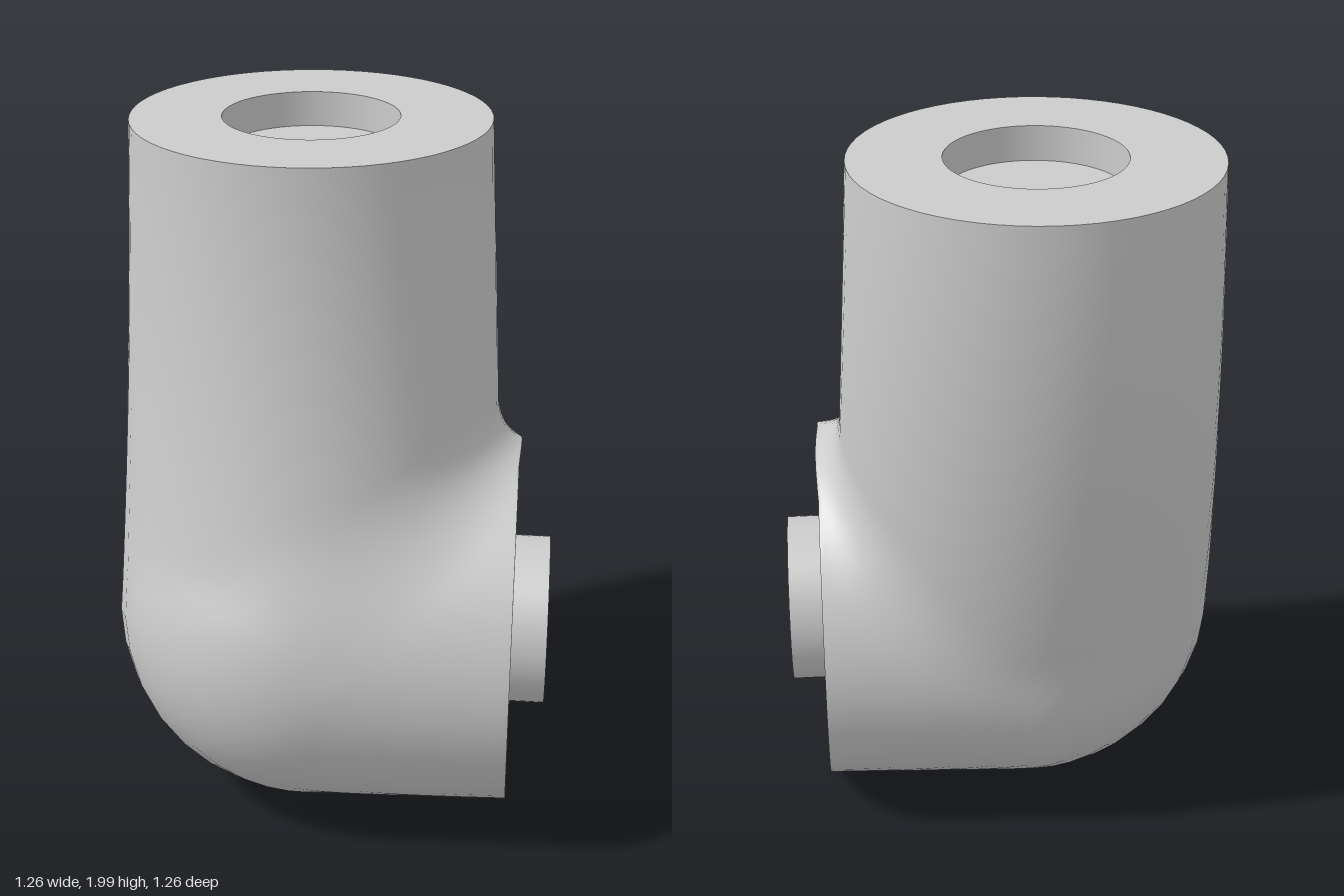
import * as THREE from 'three';

const ROWS = 48, COLS = 64;
const TOP = new THREE.Vector3(-0.085, 2, -0.12);   // centre of the upper end
const SIDE = new THREE.Vector3(0.53, 0.55, 0.075); // centre of the side flange
const ELBOW = new THREE.Vector3(-0.07, 0.57, 0.07); // centre of the rounded heel
const TOP_R = 0.505, SIDE_R = 0.53, ELBOW_R = 0.565;
const { lerp, clamp } = THREE.MathUtils;

// Signed distances: leaning upper tube, side tube, and their filleted union
function upperTube(p) {
  const t = (p.y - ELBOW.y) / (TOP.y - ELBOW.y);
  if (t < 0) return p.distanceTo(ELBOW) - ELBOW_R;
  const bend = 1 - (1 - Math.min(t, 1)) ** 2;
  return Math.hypot(p.x - lerp(ELBOW.x, TOP.x, t), p.z - lerp(ELBOW.z, TOP.z, bend)) - lerp(ELBOW_R, TOP_R, t);
}

function sideTube(p) {
  const t = (p.x - ELBOW.x) / (SIDE.x - ELBOW.x);
  if (t < 0) return p.distanceTo(ELBOW) - ELBOW_R;
  return Math.hypot(p.y - lerp(ELBOW.y, SIDE.y, t), p.z - lerp(ELBOW.z, SIDE.z, t)) - lerp(ELBOW_R, SIDE_R, t);
}

function bodyDistance(p) {
  const a = upperTube(p), b = sideTube(p);
  // the fillet only acts on the inside of the elbow
  const k = 0.13 * clamp((p.x - ELBOW.x + p.y - ELBOW.y) / 0.8, 0, 1) + 1e-4;
  const h = Math.max(k - Math.abs(a - b), 0);
  return Math.min(a, b) - h * h / (4 * k);
}

// Push a guide point along its ray from the elbow centre onto the surface
function project(guide) {
  const dir = guide.clone().sub(ELBOW).normalize();
  const p = new THREE.Vector3();
  let near = 0, far = 2.5;
  for (let i = 0; i < 32; i++) {
    const mid = (near + far) / 2;
    p.copy(ELBOW).addScaledVector(dir, mid);
    if (bodyDistance(p) < 0) near = mid; else far = mid;
  }
  return p;
}

// Rings that fan from the upper rim round the elbow to the flange rim
function elbowGeometry() {
  const grid = [], index = [];
  for (let j = 0; j < COLS; j++) {
    const a = j / COLS * Math.PI * 2, c = Math.cos(a), s = Math.sin(a);
    const start = new THREE.Vector3(TOP.x + TOP_R * c, TOP.y, TOP.z + TOP_R * s);
    const end = new THREE.Vector3(SIDE.x, SIDE.y + SIDE_R * c, SIDE.z + SIDE_R * s);
    const corner = new THREE.Vector3(start.x, end.y, (start.z + end.z) / 2);
    const guide = new THREE.QuadraticBezierCurve3(start, corner, end);
    for (let i = 0; i <= ROWS; i++) {
      const g = guide.getPoint(i / ROWS);
      grid[i * COLS + j] = i === 0 || i === ROWS ? g : project(g);
    }
  }
  for (let i = 0; i < ROWS; i++) {
    for (let j = 0; j < COLS; j++) {
      const n = (j + 1) % COLS;
      const p = i * COLS + j, q = i * COLS + n, r = p + COLS, t = q + COLS;
      index.push(p, q, r, q, t, r);
    }
  }
  const geometry = new THREE.BufferGeometry().setFromPoints(grid);
  geometry.setIndex(index);
  geometry.computeVertexNormals();
  return geometry;
}

export function createModel() {
  const group = new THREE.Group();
  const material = new THREE.MeshStandardMaterial({ color: 0xcccccc });
  const doubleSided = new THREE.MeshStandardMaterial({ color: 0xcccccc, side: THREE.DoubleSide });
  const add = (name, geometry, mat = material) => {
    const mesh = new THREE.Mesh(geometry, mat);
    mesh.name = name;
    group.add(mesh);
  };

  add('elbowBody', elbowGeometry());

  // Upper end face with its round socket
  const socketR = 0.248, depth = 0.1;
  add('upperEndFace', new THREE.RingGeometry(socketR, TOP_R, COLS).rotateX(-Math.PI / 2)
    .translate(TOP.x, TOP.y, TOP.z));
  add('socketWall', new THREE.CylinderGeometry(socketR, socketR, depth, COLS, 1, true)
    .translate(TOP.x, TOP.y - depth / 2, TOP.z), doubleSided);
  add('socketFloor', new THREE.CircleGeometry(socketR, COLS).rotateX(-Math.PI / 2)
    .translate(TOP.x, TOP.y - depth, TOP.z));

  // Side flange face and its plug
  add('flangeFace', new THREE.CircleGeometry(SIDE_R, COLS).rotateY(Math.PI / 2)
    .translate(SIDE.x, SIDE.y, SIDE.z));
  add('plug', new THREE.CylinderGeometry(0.246, 0.246, 0.1, COLS).rotateZ(-Math.PI / 2)
    .translate(SIDE.x + 0.05, SIDE.y, SIDE.z));

  return group;
}
